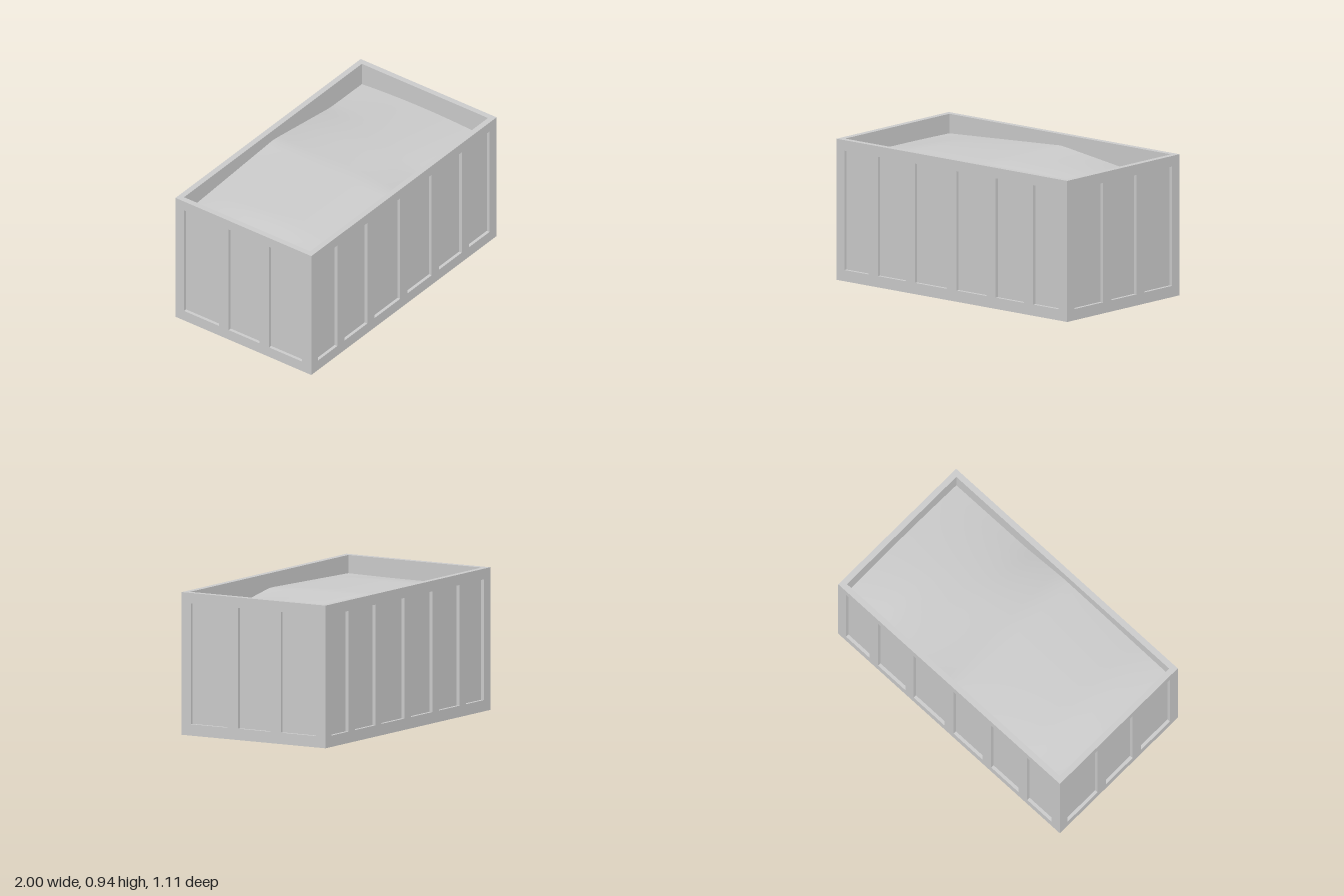
import * as THREE from 'three';

const HALF_X = 1, HALF_Z = 0.555, HEIGHT = 0.94, RECESS = 0.022, WALL = 0.04;

function rect(Type, x0, y0, x1, y1) {
  const r = new Type();
  r.moveTo(x0, y0);
  r.lineTo(x1, y0);
  r.lineTo(x1, y1);
  r.lineTo(x0, y1);
  r.closePath();
  return r;
}

// Linear interpolation through [x, y] points
function sample(points, x) {
  for (let i = 1; i < points.length; i++) {
    const [x0, y0] = points[i - 1], [x1, y1] = points[i];
    if (x <= x1) return y0 + (y1 - y0) * (x - x0) / (x1 - x0);
  }
  return points[points.length - 1][1];
}

export function createModel() {
  const model = new THREE.Group();
  model.name = 'filledContainer';
  const material = new THREE.MeshStandardMaterial({ color: 0xcccccc });

  function add(name, geometry, mat = material) {
    const mesh = new THREE.Mesh(geometry, mat);
    mesh.name = name;
    model.add(mesh);
    return mesh;
  }

  // Ribbed outer frames: rectangular windows leave the rails and ribs standing
  function frame(name, half, panels, angle, distance) {
    const shape = rect(THREE.Shape, -half, 0, half, HEIGHT);
    for (const [a, b] of panels) shape.holes.push(rect(THREE.Path, a, 0.075, b, 0.87));
    const geometry = new THREE.ExtrudeGeometry(shape, { depth: RECESS, bevelEnabled: false });
    geometry.translate(0, 0, distance - RECESS);
    add(name, geometry).rotation.y = angle;
  }
  const longPanels = [[-0.93, -0.72], [-0.64, -0.395], [-0.32, -0.04], [0.04, 0.3], [0.38, 0.625], [0.705, 0.925]];
  const endPanels = [[-0.485, -0.2], [-0.12, 0.13], [0.21, 0.48]];
  frame('frontFrame', HALF_X, longPanels, 0, HALF_Z);
  frame('backFrame', HALF_X, longPanels, Math.PI, HALF_Z);
  frame('leftFrame', HALF_Z, endPanels, Math.PI / 2, HALF_X);
  frame('rightFrame', HALF_Z, endPanels, -Math.PI / 2, HALF_X);

  // Inner walls, one continuous ring behind the frames
  const ox = HALF_X - RECESS, oz = HALF_Z - RECESS;
  const ix = HALF_X - WALL, iz = HALF_Z - WALL;
  const ring = rect(THREE.Shape, -ox, -oz, ox, oz);
  ring.holes.push(rect(THREE.Path, -ix, -iz, ix, iz));
  const walls = new THREE.ExtrudeGeometry(ring, { depth: HEIGHT, bevelEnabled: false });
  walls.rotateX(-Math.PI / 2);
  add('innerWalls', walls);

  // Floor
  const floor = new THREE.BoxGeometry(2 * HALF_X, 0.02, 2 * HALF_Z);
  floor.translate(0, 0.01, 0);
  add('floor', floor);

  // Uneven load surface, blended between three long height profiles
  const back = [[-0.96, 0.81], [0.01, 0.865], [0.62, 0.782], [0.96, 0.78]];
  const middle = [[-0.96, 0.815], [-0.7, 0.85], [0, 0.865], [0.35, 0.845], [0.96, 0.8]];
  const front = [[-0.96, 0.82], [-0.01, 0.845], [0.33, 0.79], [0.96, 0.78]];
  const load = new THREE.PlaneGeometry(2 * ix, 2 * iz, 32, 16);
  load.rotateX(-Math.PI / 2);
  const p = load.attributes.position;
  for (let i = 0; i < p.count; i++) {
    const x = p.getX(i), t = p.getZ(i) / iz;
    const edge = sample(t < 0 ? back : front, x);
    p.setY(i, THREE.MathUtils.lerp(sample(middle, x), edge, t * t));
  }
  load.computeVertexNormals();
  add('loadSurface', load, new THREE.MeshStandardMaterial({ color: 0xcccccc, side: THREE.DoubleSide }));

  return model;
}
